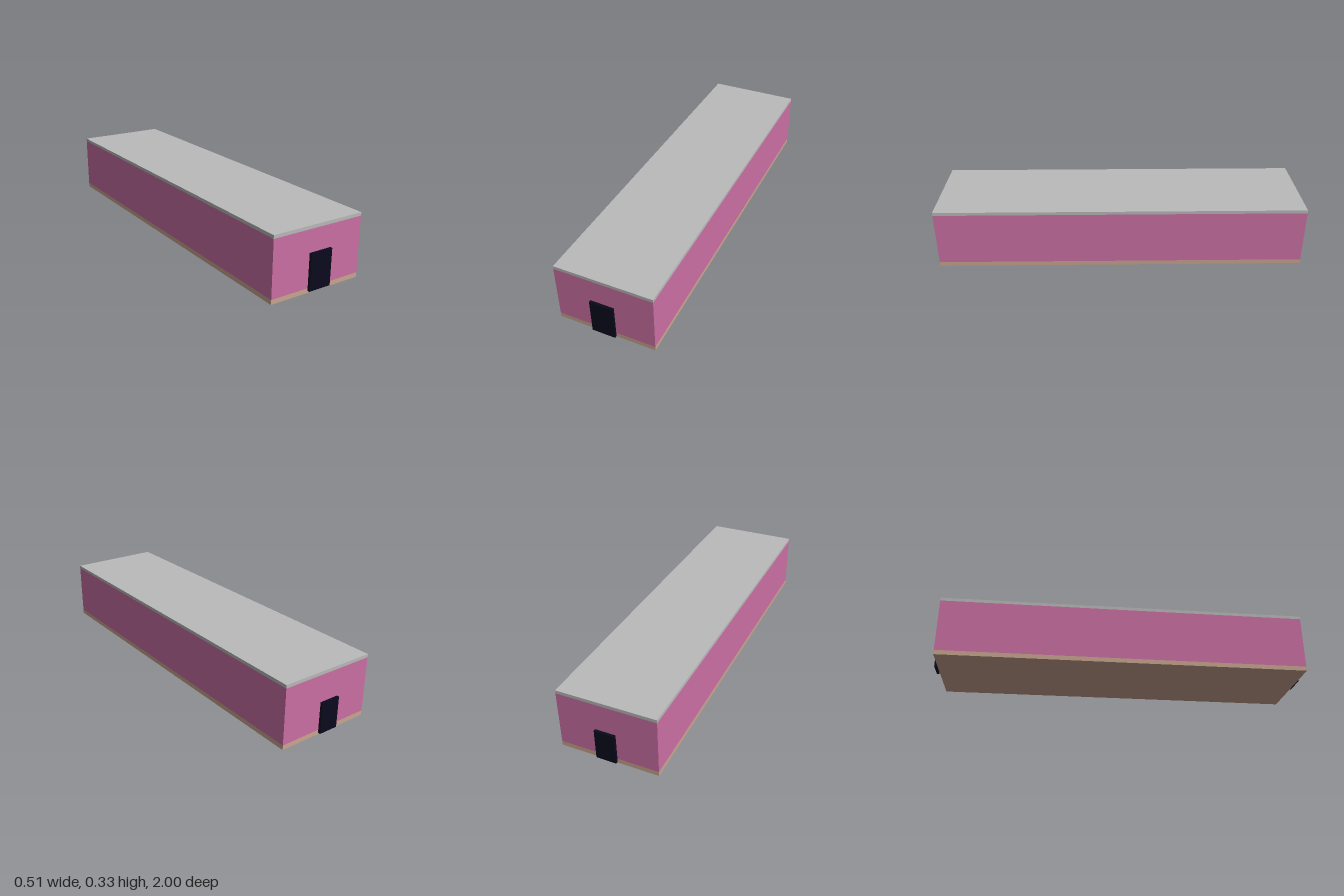
import * as THREE from 'three';

function material(name, color) {
  const m = new THREE.MeshStandardMaterial({ color });
  m.name = name;
  return m;
}

export function createModel() {
  const model = new THREE.Group();
  model.name = 'longBuilding';

  const pink = material('wallPink', 0xcc70a4);
  const grey = material('roofGrey', 0xbababa);
  const tan = material('foundationTan', 0xcaa690);
  const navy = material('doorNavy', 0x0a0a1e);

  // Box given by its width, bottom, top and depth
  function block(name, mat, width, bottom, top, depth, z = 0) {
    const mesh = new THREE.Mesh(new THREE.BoxGeometry(width, top - bottom, depth), mat);
    mesh.name = name;
    mesh.position.set(0, (bottom + top) / 2, z);
    model.add(mesh);
  }

  // Stacked body: foundation, walls and flat roof
  const width = 0.509, length = 1.946;
  block('foundation', tan, width, 0, 0.024, length);
  block('walls', pink, width, 0.024, 0.31, length);
  block('roof', grey, width, 0.31, 0.327, length);

  // Doors standing just clear of the end walls; the front one is larger
  block('frontDoor', navy, 0.121, 0.021, 0.205, 0.013, 0.9935);
  block('backDoor', navy, 0.104, 0.021, 0.181, 0.013, -0.9935);

  return model;
}
